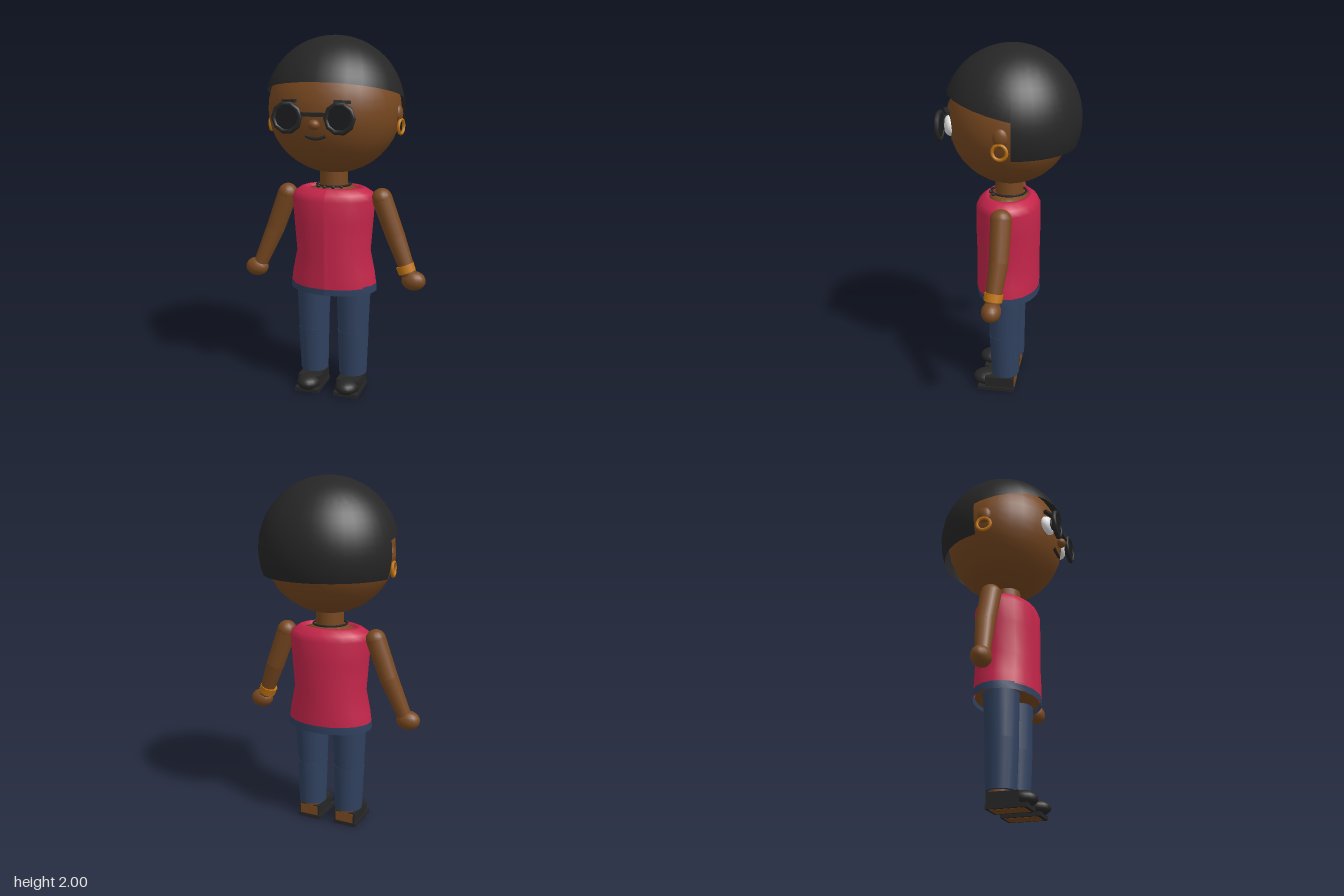
import * as THREE from 'three';

const mat = (name, color, side = THREE.DoubleSide) => {
  const m = new THREE.MeshStandardMaterial({ color, side });
  m.name = name;
  return m;
};

export function createModel() {
  const group = new THREE.Group();
  const skin = mat('skin brown', 0x784820);
  const black = mat('soft black', 0x262626);
  const lensDark = mat('lens black', 0x1b1c1e);
  const red = mat('shirt red', 0xc4254a);
  const denim = mat('denim blue', 0x30415f);
  const gold = mat('gold', 0xc07410);
  const white = mat('eye white', 0xf4f4f4);

  const add = (name, geo, material, x = 0, y = 0, z = 0) => {
    const m = new THREE.Mesh(geo, material);
    m.name = name;
    m.position.set(x, y, z);
    group.add(m);
    return m;
  };
  const ball = (name, material, pos, size, w = 16, h = 12) => {
    const m = add(name, new THREE.SphereGeometry(1, w, h), material, ...pos);
    m.scale.set(...size);
    return m;
  };
  const box = (name, material, pos, size) =>
    add(name, new THREE.BoxGeometry(...size), material, ...pos);

  // Tapered limb between two points
  const limb = (name, material, a, b, ra, rb, sides = 14) => {
    const p = new THREE.Vector3(...a), q = new THREE.Vector3(...b);
    const d = q.clone().sub(p);
    const m = add(name, new THREE.CylinderGeometry(rb, ra, d.length(), sides), material);
    m.position.copy(p).add(q).multiplyScalar(0.5);
    m.quaternion.setFromUnitVectors(new THREE.Vector3(0, 1, 0), d.normalize());
    return m;
  };

  // Oval loft: each ring is [y, half width, half depth]
  const loft = (name, material, rings, z) => {
    const geo = new THREE.LatheGeometry(rings.map(([y, rx]) => new THREE.Vector2(rx, y)), 20);
    const p = geo.attributes.position;
    for (let i = 0; i < p.count; i++) {
      const [, rx, rz] = rings[i % rings.length];
      p.setZ(i, p.getZ(i) * rz / rx);
    }
    geo.computeVertexNormals();
    return add(name, geo, material, 0, 0, z);
  };

  // Head and neck
  ball('head', skin, [0, 1.61, 0], [0.365, 0.35, 0.335], 28, 20);
  add('neck', new THREE.CylinderGeometry(0.078, 0.078, 0.14, 16), skin, 0, 1.23, 0.01);
  ball('nose', skin, [0, 1.55, 0.343], [0.031, 0.027, 0.028]);

  // Hair: tilted cap and a longer back
  const cap = add('hairCap', new THREE.SphereGeometry(0.38, 28, 14, 0, Math.PI * 2, 0, 1.406), black, 0, 1.62, 0);
  cap.rotation.x = -0.225;
  cap.scale.z = 0.97;
  add('hairBack', new THREE.SphereGeometry(0.388, 18, 14, Math.PI + 0.145, Math.PI - 0.29, 0.3, 1.63),
    black, 0, 1.61, 0).scale.z = 0.975;

  // Mouth
  const smile = new THREE.QuadraticBezierCurve3(
    new THREE.Vector3(-0.052, 1.491, 0.314), new THREE.Vector3(0, 1.463, 0.324), new THREE.Vector3(0.052, 1.491, 0.314));
  add('mouth', new THREE.TubeGeometry(smile, 10, 0.009, 6), black);

  // Glasses bridge
  box('glassesBridge', black, [0, 1.602, 0.355], [0.15, 0.02, 0.018]);

  // Shirt, trouser waist and the body seen at the openings
  loft('shirt', red, [
    [0.635, 0.246, 0.178], [0.7, 0.237, 0.178], [0.82, 0.211, 0.177], [1.0, 0.226, 0.18],
    [1.12, 0.237, 0.178], [1.155, 0.225, 0.16], [1.18, 0.185, 0.13], [1.187, 0.165, 0.115], [1.165, 0.155, 0.105],
  ], 0.015);
  loft('chest', skin, [[1.1, 0.165, 0.12], [1.165, 0.158, 0.11], [1.185, 0.1, 0.09], [1.2, 0.06, 0.06]], 0.013);
  loft('trouserHem', denim, [[0.6, 0.25, 0.178], [0.643, 0.248, 0.18]], 0.012);
  loft('hips', skin, [[0.612, 0.001, 0.001], [0.613, 0.235, 0.165], [0.66, 0.22, 0.16]], 0.012);

  // Necklace with beads
  const chain = add('necklace', new THREE.TorusGeometry(0.095, 0.006, 6, 24), black, 0, 1.196, 0.012);
  chain.rotation.x = Math.PI / 2;
  for (const a of [-0.7, -0.25, 0.25, 0.7])
    ball('necklaceBead', black, [Math.sin(a) * 0.102, 1.193, 0.012 + Math.cos(a) * 0.102], [0.011, 0.009, 0.011], 8, 6);

  for (const s of [-1, 1]) {
    // Eyes, brows and glasses
    ball('eye', white, [s * 0.14, 1.59, 0.302], [0.058, 0.055, 0.034]).rotation.y = s * 0.3;
    ball('pupil', black, [s * 0.14, 1.59, 0.325], [0.03, 0.034, 0.017]);
    const brow = box('eyebrow', black, [s * 0.142, 1.665, 0.317], [0.085, 0.016, 0.022]);
    brow.rotation.set(0, s * 0.4, s * -0.06);
    add('glassesRim', new THREE.TorusGeometry(0.071, 0.014, 8, 10), black, s * 0.14, 1.585, 0.358);
    add('lens', new THREE.CylinderGeometry(0.066, 0.066, 0.014, 10), lensDark, s * 0.14, 1.585, 0.358).rotation.x = Math.PI / 2;

    // Ears and hoops
    ball('ear', skin, [s * 0.355, 1.59, 0], [0.025, 0.05, 0.04]);
    const hoop = add('earring', new THREE.TorusGeometry(0.038, 0.009, 8, 18), gold, s * 0.372, 1.522, 0.002);
    hoop.rotation.y = Math.PI / 2 - s * 0.15;

    // Arms
    const shoulder = [s * 0.275, 1.13, 0.012], elbow = [s * 0.355, 0.92, 0.012], wrist = [s * 0.445, 0.705, 0.034];
    ball('shoulder', skin, shoulder, [0.056, 0.056, 0.058]);
    limb('upperArm', skin, shoulder, elbow, 0.057, 0.053);
    ball('elbow', skin, elbow, [0.052, 0.052, 0.052]);
    limb('forearm', skin, elbow, wrist, 0.053, 0.04);
    ball('hand', skin, [s * 0.465, 0.685, 0.035], [0.068, 0.054, 0.053]);

    // Legs
    limb('upperLeg', denim, [s * 0.118, 0.64, 0.018], [s * 0.118, 0.355, 0.022], 0.099, 0.087, 18);
    limb('lowerLeg', denim, [s * 0.118, 0.36, 0.022], [s * 0.116, 0.1, 0.017], 0.089, 0.08, 18);
    add('ankle', new THREE.CylinderGeometry(0.057, 0.057, 0.06, 14), skin, s * 0.115, 0.09, 0.012);

    // Shoes with an open heel
    const fx = s * 0.115;
    box('sole', black, [fx, 0.0125, 0.065], [0.142, 0.022, 0.215]);
    box('soleInset', skin, [fx, 0.0025, 0.062], [0.108, 0.005, 0.18]);
    box('shoeUpper', black, [fx, 0.054, 0.045], [0.13, 0.064, 0.17]);
    box('heel', skin, [fx, 0.053, -0.041], [0.11, 0.056, 0.005]);
    ball('toeCap', black, [fx, 0.054, 0.135], [0.066, 0.042, 0.075]);
  }

  // Bracelet on the left wrist
  limb('bracelet', gold, [0.413, 0.768, 0.028], [0.43, 0.727, 0.032], 0.052, 0.05, 10);

  return group;
}
